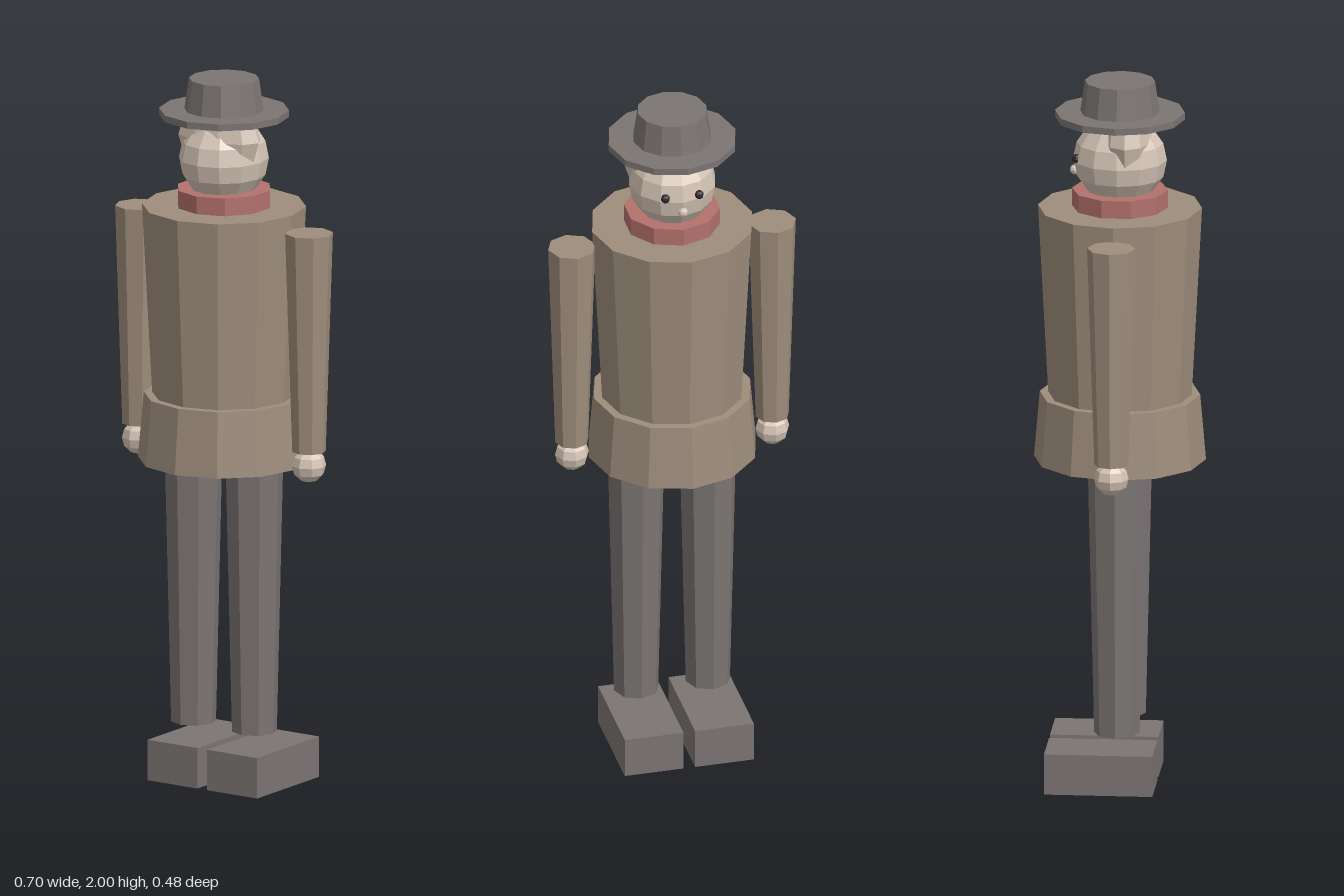
import * as THREE from 'three';

const mat = (name, color) => {
  const m = new THREE.MeshStandardMaterial({ color, flatShading: true });
  m.name = name;
  return m;
};

export function createModel() {
  const model = new THREE.Group();
  model.name = 'figure';

  const coatBrown = mat('coatBrown', 0x9e8d7c);
  const darkGrey = mat('darkGrey', 0x7b7573);
  const skin = mat('skin', 0xd5c4b6);
  const scarfRed = mat('scarfRed', 0xb3716c);
  const eyeBlack = mat('eyeBlack', 0x2e2a2a);

  const add = (name, geometry, material, x, y, z) => {
    const mesh = new THREE.Mesh(geometry, material);
    mesh.name = name;
    mesh.position.set(x, y, z);
    model.add(mesh);
    return mesh;
  };
  // upright tapered prism between two heights
  const taper = (name, material, rTop, rBottom, y0, y1, sides, x = 0) =>
    add(name, new THREE.CylinderGeometry(rTop, rBottom, y1 - y0, sides), material, x, (y0 + y1) / 2, 0);
  // low-poly ellipsoid
  const ball = (name, material, [rx, ry, rz], [x, y, z], w, h) =>
    add(name, new THREE.SphereGeometry(1, w, h).scale(rx, ry, rz), material, x, y, z);

  // coat
  taper('coatBody', coatBrown, 0.227, 0.198, 1.09, 1.64, 12);
  taper('coatSkirt', coatBrown, 0.222, 0.238, 0.92, 1.105, 12);
  taper('scarf', scarfRed, 0.133, 0.133, 1.635, 1.69, 10);

  // head, facing -z, with a cap of hair sticking out over the ears
  ball('head', skin, [0.122, 0.125, 0.13], [0, 1.775, 0], 12, 8);
  ball('hair', skin, [0.133, 0.11, 0.072], [0, 1.838, 0.023], 10, 6);
  ball('nose', skin, [0.014, 0.014, 0.014], [0, 1.742, -0.125], 8, 6);

  // hat
  taper('hatBrim', darkGrey, 0.18, 0.18, 1.893, 1.912, 12);
  taper('hatCrown', darkGrey, 0.097, 0.11, 1.91, 2.0, 12);

  // paired parts
  for (const s of [-1, 1]) {
    const side = s > 0 ? 'left' : 'right';
    ball(side + 'Eye', eyeBlack, [0.013, 0.013, 0.013], [s * 0.048, 1.787, -0.116], 8, 6);
    taper(side + 'Arm', coatBrown, 0.067, 0.047, 0.98, 1.6, 8, s * 0.285);
    ball(side + 'Hand', skin, [0.048, 0.048, 0.048], [s * 0.285, 0.94, 0], 8, 6);
    taper(side + 'Leg', darkGrey, 0.081, 0.063, 0.16, 0.94, 8, s * 0.102);
    add(side + 'Boot', new THREE.BoxGeometry(0.167, 0.115, 0.3), darkGrey, s * 0.1, 0.0575, -0.045);
  }
  return model;
}
